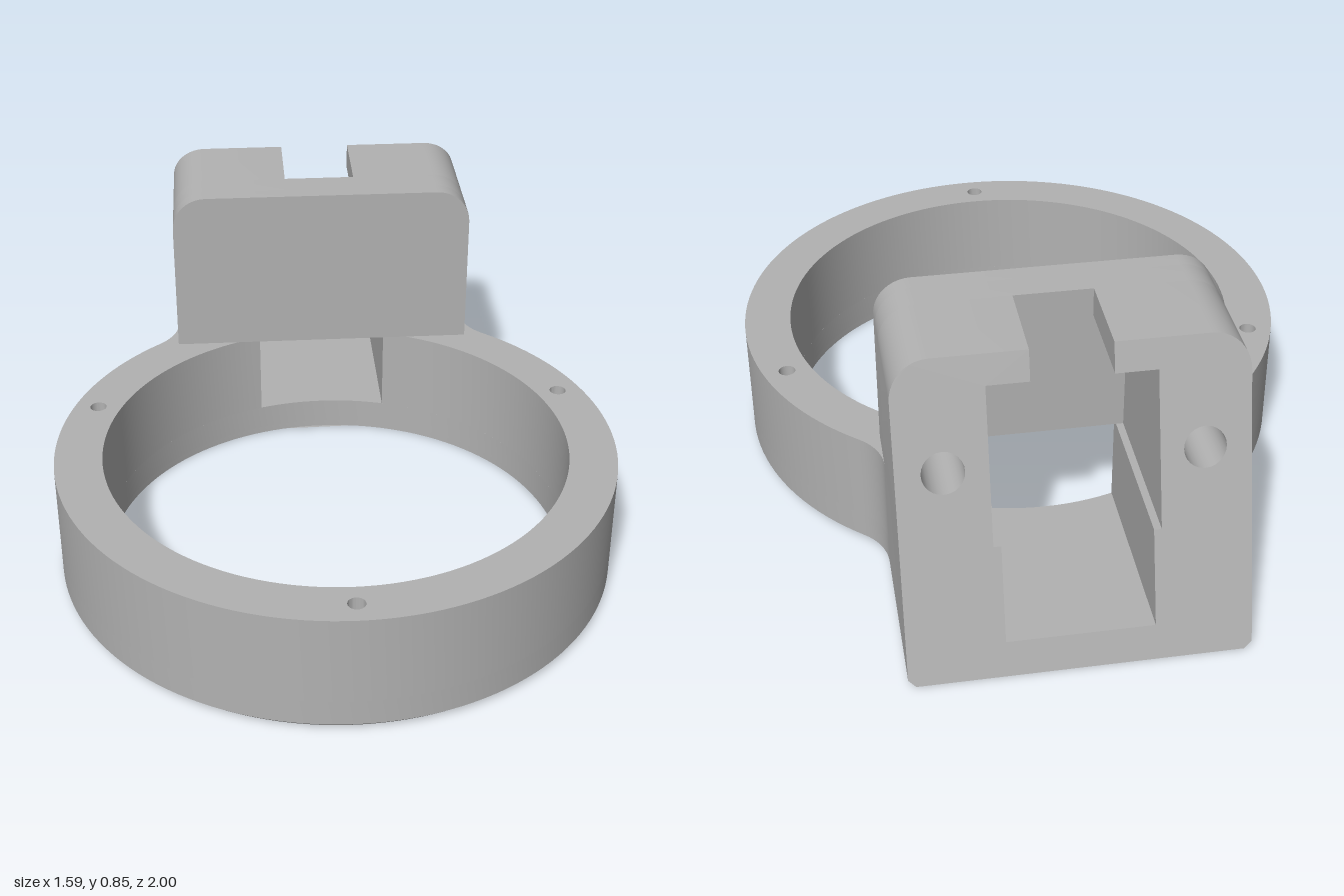
import * as THREE from 'three';
import { toCreasedNormals } from 'three/addons/utils/BufferGeometryUtils.js';

const CZ = 0.205, R = 0.795, BORE = 0.66;          // ring centre z, outer and inner radius
const W = 0.45, RING_H = 0.355, TOP = 0.85;        // block half width, heights
const FR = 0.16, FZ = -0.53;                       // fillet between ring and block
const FLOOR = 0.095, ROOF = 0.77, CHAMFER = 0.02;
const SLOPE = 0.222 / TOP;                         // lean of the back face

const V = (x, y) => new THREE.Vector2(x, y);

function arc(cx, cy, r, a0, a1, n) {
  return Array.from({ length: n + 1 }, (_, i) => {
    const a = a0 + (a1 - a0) * i / n;
    return V(cx + r * Math.cos(a), cy + r * Math.sin(a));
  });
}
const mirror = (pts) => pts.map((p) => V(-p.x, p.y)).reverse();
const loop = (half) => [...half, ...mirror(half).slice(1)];

function circle(x, y, r) {
  return new THREE.Path(arc(x, y, r, 0, Math.PI * 2, 24).slice(0, -1));
}

// Plan outline of ring plus block (x, z), optionally shrunk by d
function outline(d = 0) {
  const fx = W + FR, a = Math.atan2(FZ - CZ, fx);
  return loop([
    V(W - d, -1),
    ...arc(fx, FZ, FR + d, Math.PI, Math.PI + a, 10),
    ...arc(0, CZ, R - d, a, Math.PI / 2, 56).slice(1),
  ]);
}

// Lean every vertex on the back plane
function leanBack(geo) {
  const p = geo.attributes.position;
  for (let i = 0; i < p.count; i++) {
    if (p.getZ(i) < -0.999) p.setZ(i, -1 + SLOPE * p.getY(i));
  }
  return toCreasedNormals(geo, 0.5);
}

// Plan shape raised from y0 to y1
function planLayer(shape, y0, y1) {
  return new THREE.ExtrudeGeometry(shape, { depth: y1 - y0, bevelEnabled: false })
    .rotateX(Math.PI / 2).translate(0, y1, 0);
}

// Front-view shape running from z0 to z1
function frontLayer(shape, z0, z1) {
  return new THREE.ExtrudeGeometry(shape, { depth: z1 - z0, bevelEnabled: false })
    .translate(0, 0, z0);
}

export function createModel() {
  const model = new THREE.Group();
  const grey = new THREE.MeshStandardMaterial({ color: 0xb2b2b2 });
  grey.name = 'plain grey';
  const add = (name, geo) => {
    const mesh = new THREE.Mesh(leanBack(geo), grey);
    mesh.name = name;
    model.add(mesh);
  };

  // Bottom rim with chamfered outer edge, then the solid base up to the pocket floor
  const full = new THREE.Shape(outline());
  full.holes.push(new THREE.Path(loop(arc(0, CZ, BORE, -Math.PI / 2, Math.PI / 2, 64)).slice(0, -1)));
  const rim = planLayer(full, 0, CHAMFER);
  const outer = outline(), inset = outline(CHAMFER);
  const pos = rim.attributes.position;
  for (let i = 0; i < pos.count; i++) {
    if (pos.getY(i) > 0.001) continue;
    const k = outer.findIndex((q) => Math.hypot(q.x - pos.getX(i), q.y - pos.getZ(i)) < 1e-4);
    if (k >= 0) pos.setXYZ(i, inset[k].x, 0, inset[k].y);
  }
  add('chamferedRim', rim);
  add('ringBase', planLayer(full, CHAMFER, FLOOR));

  // Ring walls, cut through at the back by the pocket channel, with three pin holes
  const cx = 0.195, a0 = Math.atan2(-Math.sqrt(BORE * BORE - cx * cx), cx);
  const inner = loop([V(cx, -1), ...arc(0, CZ, BORE, a0, Math.PI / 2, 60)]).reverse();
  const walls = new THREE.Shape([...outline(), ...inner]);
  for (const deg of [90, -20, 200]) {
    const a = deg * Math.PI / 180;
    walls.holes.push(circle(0.727 * Math.cos(a), CZ + 0.727 * Math.sin(a), 0.024));
  }
  add('ringWalls', planLayer(walls, FLOOR, RING_H));

  // Upper block, built as mirrored halves around the pocket
  const corner = arc(W - 0.1, TOP - 0.1, 0.1, 0, Math.PI / 2, 10);
  const side = [V(W, RING_H), ...corner];
  const frame = (slot) => [V(0.215, RING_H), ...side, V(slot, TOP), V(slot, ROOF), V(0.215, ROOF)];
  const wall = [V(0, RING_H), ...side, V(0, TOP)];
  for (const s of [1, -1]) {
    const label = s > 0 ? 'left' : 'right';
    const shape = (pts) => new THREE.Shape(s > 0 ? pts : mirror(pts));
    add(label + 'FrontWall', frontLayer(shape(wall), -0.45, -0.4));
    add(label + 'ClosedFrame', frontLayer(shape(frame(0)), -0.53, -0.45));
    const slotted = shape(frame(0.105));
    slotted.holes.push(circle(s * 0.33, 0.56, 0.055));
    add(label + 'SlottedFrame', frontLayer(slotted, -1, -0.53));
  }
  return model;
}
